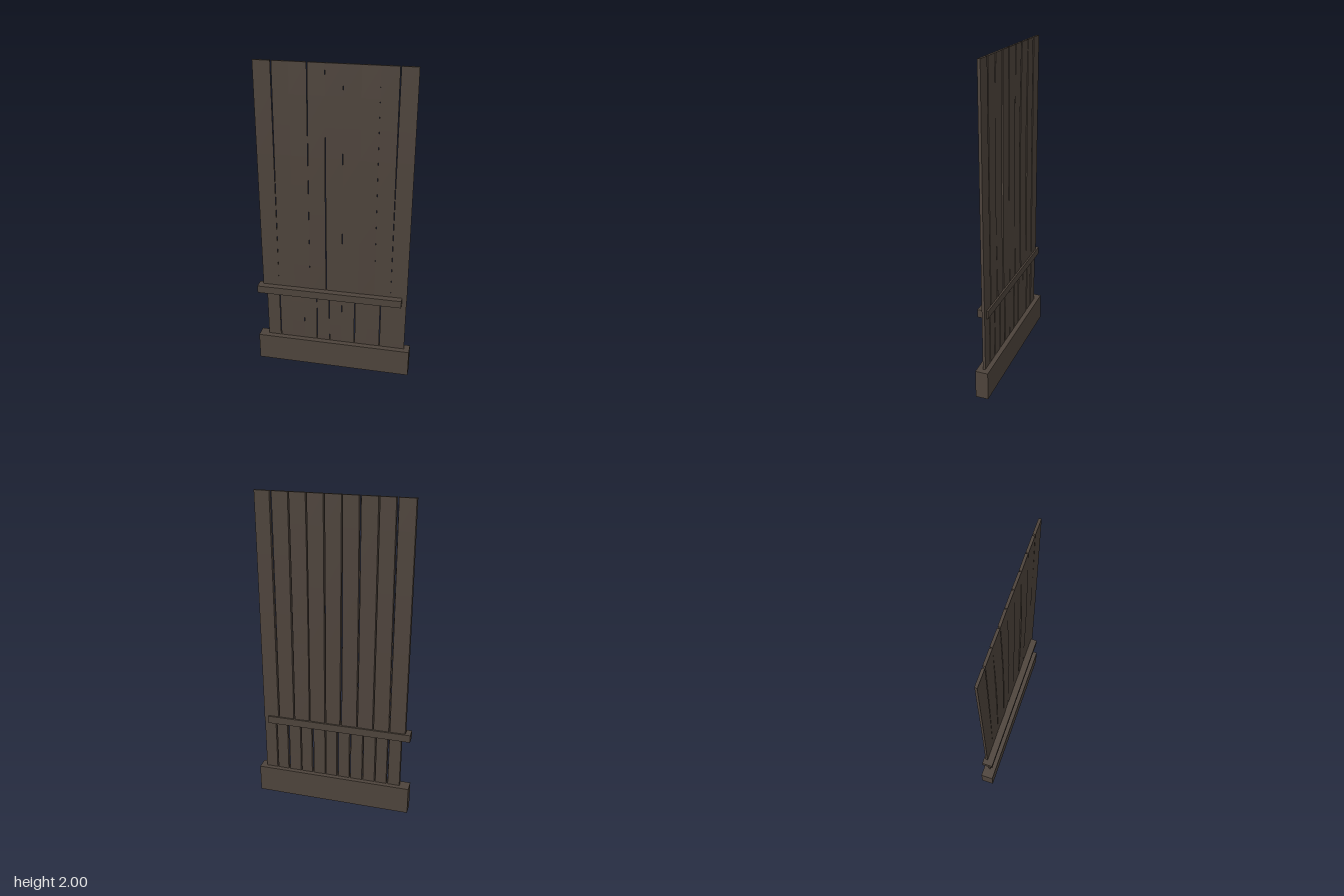
import * as THREE from 'three';

const wood = new THREE.MeshStandardMaterial({ color: 0x4d433b });
wood.name = 'dark weathered wood';

// Straight beam given by its extents on each axis
function beam(name, x0, x1, y0, y1, z0, z1) {
  const mesh = new THREE.Mesh(new THREE.BoxGeometry(x1 - x0, y1 - y0, z1 - z0), wood);
  mesh.position.set((x0 + x1) / 2, (y0 + y1) / 2, (z0 + z1) / 2);
  mesh.name = name;
  return mesh;
}

// Thin plank with a narrower back, bowed along its length and slightly twisted
function plank(name, x0, x1, y0, y1, { bow = 0, twist = 0, gapTop = 0, gapBottom = 0 } = {}) {
  const w = x1 - x0, h = y1 - y0, depth = 0.015;
  const geo = new THREE.BoxGeometry(w, h, depth, 1, 8, 1).toNonIndexed();
  const p = geo.attributes.position;
  for (let i = 0; i < p.count; i++) {
    let x = p.getX(i), z = p.getZ(i);
    const t = p.getY(i) / h + 0.5;
    const arch = Math.sin(Math.PI * t);
    // Left edge is trimmed where a gap opens, back edges are chamfered
    if (x < 0) x += THREE.MathUtils.lerp(gapBottom, gapTop, t);
    if (z < 0) x -= Math.sign(x) * 0.004;
    z += bow * arch + twist * (x / w) * (1 - t * 0.5);
    p.setXYZ(i, x, p.getY(i), z);
  }
  geo.computeVertexNormals();
  const mesh = new THREE.Mesh(geo, wood);
  mesh.position.set((x0 + x1) / 2, (y0 + y1) / 2, -0.006);
  mesh.name = name;
  return mesh;
}

export function createModel() {
  const group = new THREE.Group();
  group.name = 'plankWall';

  // Sill and cross rail
  group.add(beam('baseSill', -0.5, 0.5, 0, 0.18, -0.043, 0.036));
  group.add(beam('crossRail', -0.492, 0.436, 0.513, 0.562, -0.024, 0.042));

  // Long planks above the rail
  const warps = [
    { bow: 0.001 },
    { bow: 0.002, gapTop: 0.006 },
    { bow: 0.007, twist: 0.002 },
    { bow: 0.009, twist: -0.003, gapTop: 0.004 },
    { bow: 0.003, gapBottom: 0.004 },
    { bow: 0.001, twist: 0.001 },
    { bow: 0.007, twist: -0.003 },
    { bow: 0.002 },
    { bow: 0.001, gapTop: 0.005 },
  ];
  const upper = new THREE.Group();
  upper.name = 'upperPlanks';
  const pitch = 0.929 / warps.length;
  warps.forEach((warp, i) => {
    const x = -0.462 + i * pitch;
    upper.add(plank('upperPlank', x, x + pitch, 0.545, 2, warp));
  });
  group.add(upper);

  // Short planks between the sill and the rail
  const lower = new THREE.Group();
  lower.name = 'lowerPlanks';
  const count = 11, step = 0.905 / count;
  const gaps = { 1: 0.004, 4: 0.003, 5: 0.003, 7: 0.005, 9: 0.004 };
  for (let i = 0; i < count; i++) {
    const x = -0.44 + i * step, gap = gaps[i] || 0;
    lower.add(plank('lowerPlank', x, x + step, 0.16, 0.55, {
      bow: 0.001 * (i % 3), gapTop: gap, gapBottom: gap,
    }));
  }
  group.add(lower);
  return group;
}
